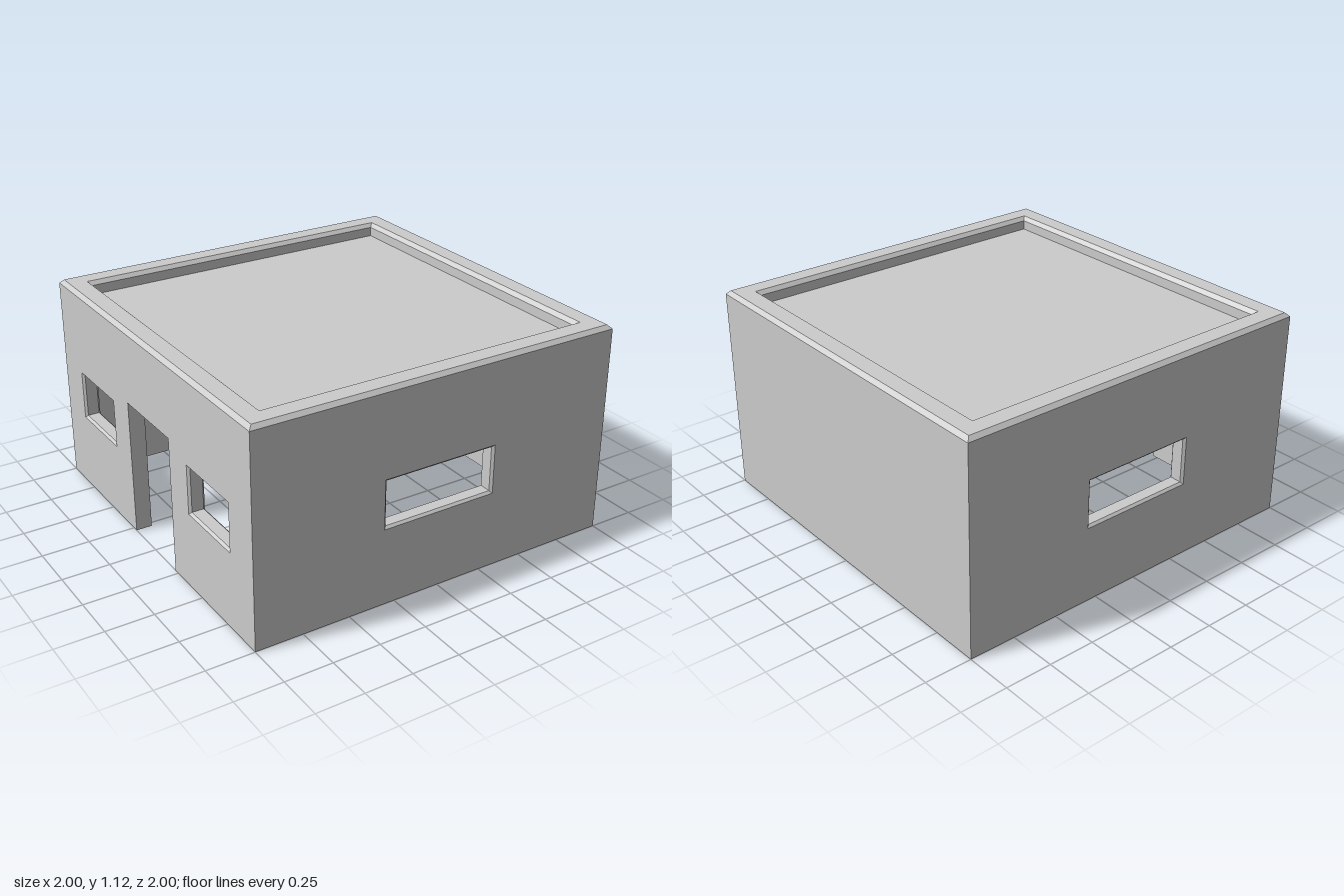
import * as THREE from 'three';

const T = 0.085;      // wall thickness
const H = 1.1;        // wall height below the coping
const C = 0.012;      // window edge chamfer
const material = new THREE.MeshStandardMaterial({ color: 0xcccccc, flatShading: true });

function addMesh(parent, name, geometry) {
  const mesh = new THREE.Mesh(geometry, material);
  mesh.name = name;
  parent.add(mesh);
  return mesh;
}

// Skin through rectangular rings, each [halfWidth, halfHeight, z]; rising z faces outward
function rectLoft(rings) {
  const corner = ([w, h, z], i) => {
    const [sx, sy] = [[1, -1], [1, 1], [-1, 1], [-1, -1]][i % 4];
    return [sx * w, sy * h, z];
  };
  const points = [];
  for (let k = 0; k < rings.length - 1; k++) {
    for (let i = 0; i < 4; i++) {
      const a = corner(rings[k], i), b = corner(rings[k], i + 1);
      const c = corner(rings[k + 1], i + 1), d = corner(rings[k + 1], i);
      points.push(...a, ...b, ...c, ...a, ...c, ...d);
    }
  }
  const geometry = new THREE.BufferGeometry();
  geometry.setAttribute('position', new THREE.Float32BufferAttribute(points, 3));
  geometry.computeVertexNormals();
  return geometry;
}

// Wall panel whose outer face looks along the group's +z, with windows and an optional door
function makeWall(name, width, windows = [], door = null) {
  const wall = new THREE.Group();
  wall.name = name;
  const w = width / 2;
  const outline = [[-w, 0]];
  if (door) {
    const d = door.width / 2;
    outline.push([-d, 0], [-d, door.height], [d, door.height], [d, 0]);
  }
  outline.push([w, 0], [w, H], [-w, H]);
  const shape = new THREE.Shape(outline.map(([x, y]) => new THREE.Vector2(x, y)));

  for (const { x, y, hw, hh } of windows) {
    shape.holes.push(new THREE.Path([
      new THREE.Vector2(x - hw, y - hh), new THREE.Vector2(x - hw, y + hh),
      new THREE.Vector2(x + hw, y + hh), new THREE.Vector2(x + hw, y - hh),
    ]));
    // Chamfered reveal lining the opening
    const reveal = addMesh(wall, 'windowReveal', rectLoft([
      [hw, hh, T], [hw - C, hh - C, T - C], [hw - C, hh - C, C], [hw, hh, 0],
    ]));
    reveal.position.set(x, y, 1 - T);
  }
  const panel = addMesh(wall, 'wallPanel',
    new THREE.ExtrudeGeometry(shape, { depth: T, bevelEnabled: false }));
  panel.position.z = 1 - T;
  return wall;
}

export function createModel() {
  const model = new THREE.Group();
  model.name = 'flatRoofHouse';

  // Walls: front and back run full width, the sides fit between them
  const wide = { x: 0, y: 0.536, hw: 0.312, hh: 0.13 };
  const small = [-0.595, 0.595].map((x) => ({ x, y: 0.536, hw: 0.198, hh: 0.13 }));
  const front = makeWall('frontWall', 2, [wide]);
  const back = makeWall('backWall', 2, [wide]);
  back.rotation.y = Math.PI;
  const left = makeWall('leftWall', 2 - 2 * T);
  left.rotation.y = Math.PI / 2;
  const right = makeWall('rightWall', 2 - 2 * T, small, { width: 0.44, height: 0.725 });
  right.rotation.y = -Math.PI / 2;
  model.add(front, back, left, right);

  // Roof slab, also the ceiling
  const inner = 1 - T;
  const slab = addMesh(model, 'roofSlab', new THREE.BoxGeometry(2 * inner, 0.1, 2 * inner));
  slab.position.y = 1.0;

  // Parapet coping with chamfered outer and inner edges
  const profile = [[1, H], [0.98, 1.12], [0.89, 1.12], [0.87, H], [0.87, 1.05], [inner, 1.05]];
  const coping = addMesh(model, 'parapetCoping', rectLoft(profile.map(([r, y]) => [r, r, y])));
  coping.rotation.x = -Math.PI / 2;

  return model;
}
